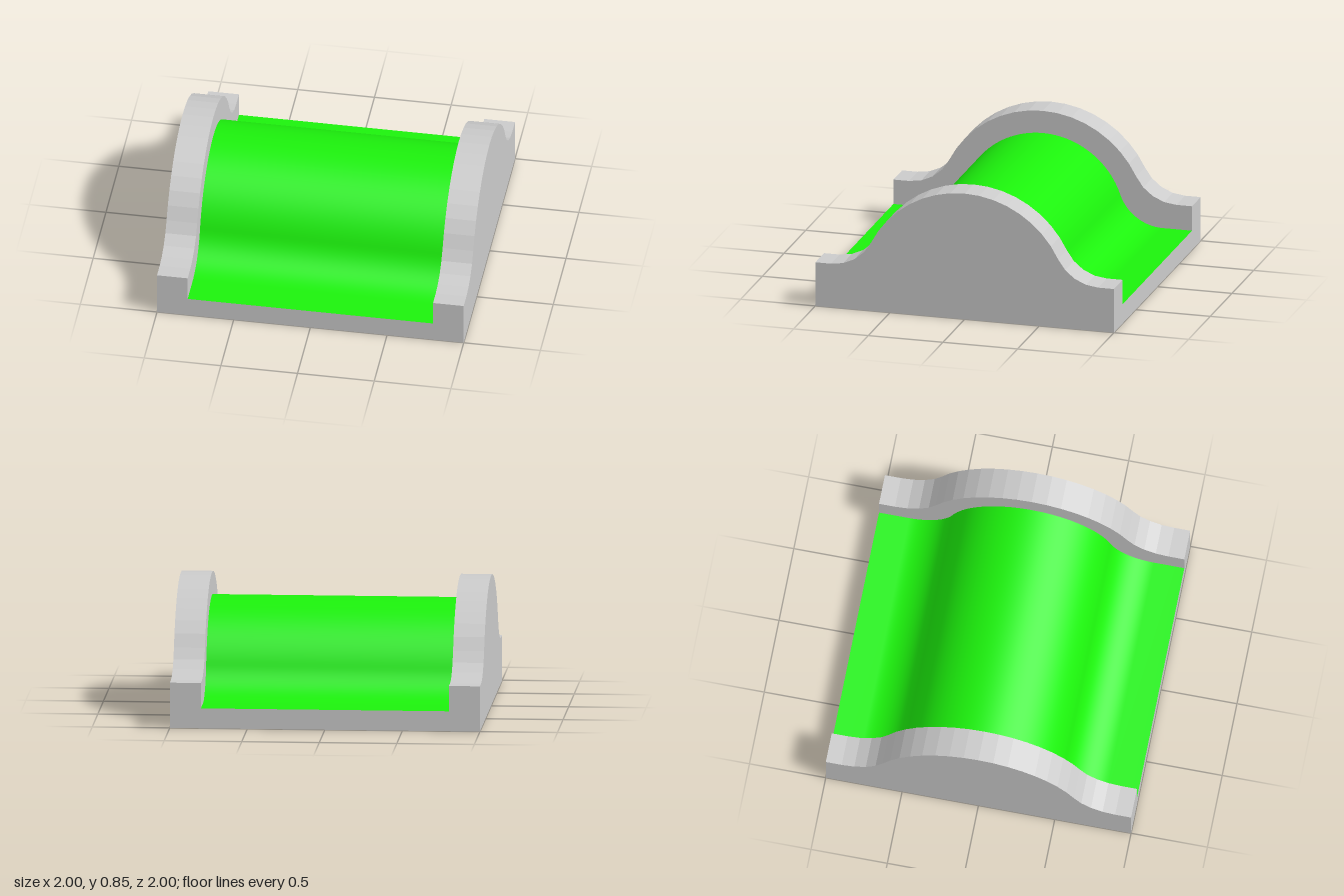
import * as THREE from 'three';

const CENTRE_Y = 0.15, FILLET = 0.3;

// Hump profile as (z, y) points from z = 1 to z = -1: flat, fillet, arc, fillet, flat
function humpProfile(radius, baseY, arcSteps, filletSteps) {
  const fy = baseY + FILLET;
  const fz = Math.sqrt((radius + FILLET) ** 2 - (fy - CENTRE_Y) ** 2);
  const angle = Math.atan2(fz, fy - CENTRE_Y); // tangent point, measured from vertical
  const half = [new THREE.Vector2(1, baseY)];
  for (let i = 0; i < filletSteps; i++) {
    const a = angle * i / filletSteps;
    half.push(new THREE.Vector2(fz - FILLET * Math.sin(a), fy - FILLET * Math.cos(a)));
  }
  for (let i = 0; i < arcSteps; i++) {
    const a = angle * (1 - i / arcSteps);
    half.push(new THREE.Vector2(radius * Math.sin(a), CENTRE_Y + radius * Math.cos(a)));
  }
  const mirrored = half.slice().reverse().map(p => new THREE.Vector2(-p.x, p.y));
  return [...half, new THREE.Vector2(0, CENTRE_Y + radius), ...mirrored];
}

// Open sheet that sweeps a (z, y) path across the width between the walls
function sheet(path, halfWidth) {
  const positions = [], index = [];
  path.forEach((p, i) => {
    positions.push(-halfWidth, p.y, p.x, halfWidth, p.y, p.x);
    if (i < path.length - 1) {
      const a = i * 2;
      index.push(a, a + 1, a + 2, a + 1, a + 3, a + 2);
    }
  });
  const geometry = new THREE.BufferGeometry();
  geometry.setAttribute('position', new THREE.Float32BufferAttribute(positions, 3));
  geometry.setIndex(index);
  geometry.computeVertexNormals();
  return geometry;
}

export function createModel() {
  const group = new THREE.Group();
  const grey = new THREE.MeshStandardMaterial({ color: 0xcccccc, flatShading: true });
  const greyThin = new THREE.MeshStandardMaterial({ color: 0xcccccc, flatShading: true, side: THREE.DoubleSide });
  const green = new THREE.MeshStandardMaterial({ color: 0x1cf20c, side: THREE.DoubleSide });
  const add = (name, geometry, material) => {
    const mesh = new THREE.Mesh(geometry, material);
    mesh.name = name;
    group.add(mesh);
  };

  // Raised side walls, faceted along the top
  const outline = humpProfile(0.7, 0.295, 8, 4);
  const wallShape = new THREE.Shape([...outline, new THREE.Vector2(-1, 0), new THREE.Vector2(1, 0)]);
  for (const [name, outerX] of [['leftWall', 1], ['rightWall', -0.8]]) {
    const wall = new THREE.ExtrudeGeometry(wallShape, { depth: 0.2, bevelEnabled: false });
    wall.rotateY(-Math.PI / 2).translate(outerX, 0, 0);
    add(name, wall, grey);
  }

  // Smooth green track between the walls
  add('track', sheet(humpProfile(0.55, 0.13, 24, 16), 0.8), green);

  // Underside with low front and back edges
  const tray = [[-1, 0.13], [-1, 0], [1, 0], [1, 0.13]].map(p => new THREE.Vector2(...p));
  add('base', sheet(tray, 0.8), greyThin);

  return group;
}
